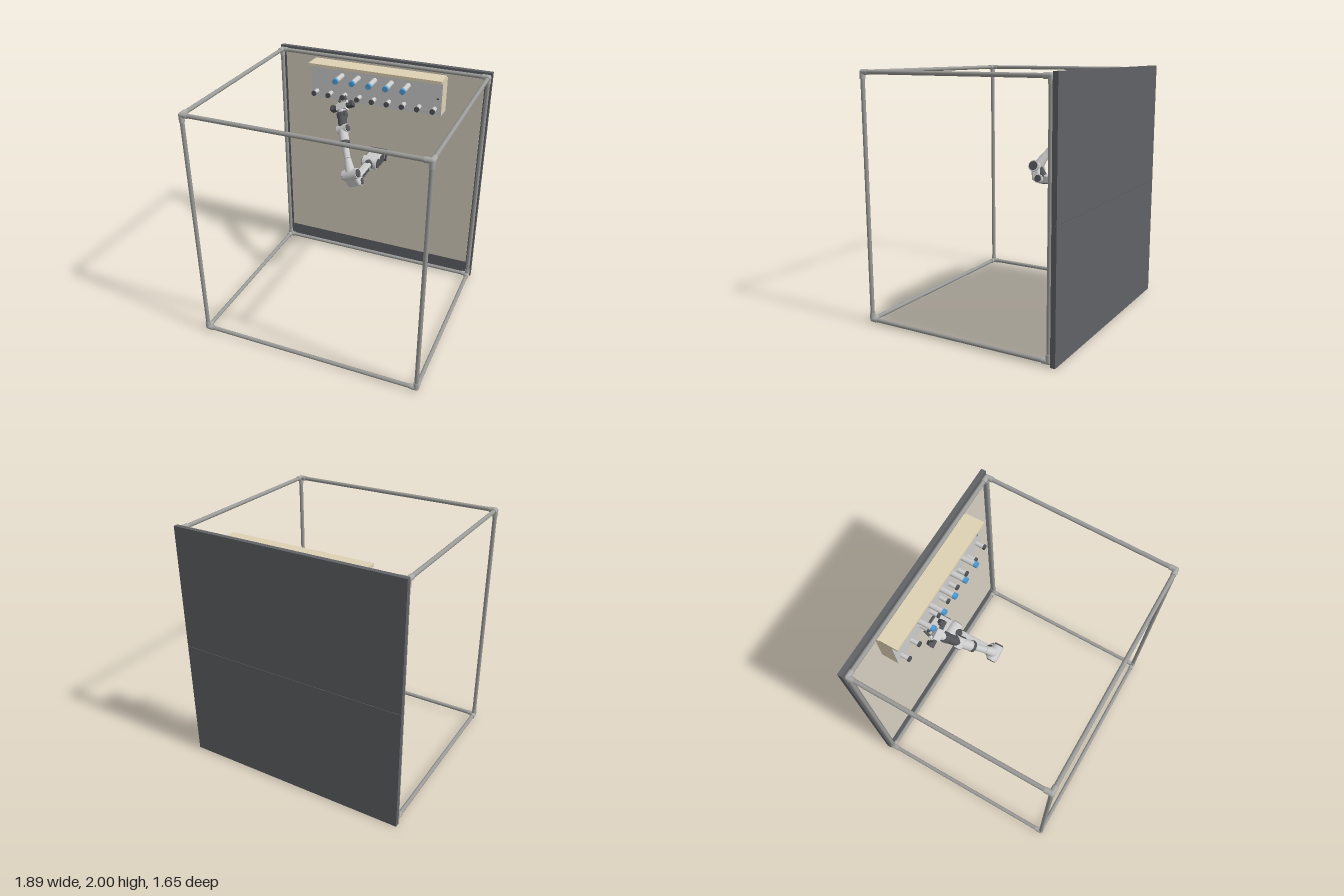
import * as THREE from 'three';
import { RoundedBoxGeometry } from 'three/addons/geometries/RoundedBoxGeometry.js';

const mat = (color) => new THREE.MeshStandardMaterial({ color });
const GREY = mat(0xcccccc), PIPE = mat(0x9a9a98), FITTING = mat(0xa8a8a6), DARK = mat(0x505256);
const PANEL = mat(0x606266), SHEET = mat(0xd4cebf), WOOD = mat(0xdfd2b4), BLUE = mat(0x4f9fd8);
const V = (x, y, z) => new THREE.Vector3(x, y, z);
const UP = V(0, 1, 0);

function add(parent, name, geometry, material, x = 0, y = 0, z = 0) {
  const mesh = new THREE.Mesh(geometry, material);
  mesh.name = name;
  mesh.position.set(x, y, z);
  parent.add(mesh);
  return mesh;
}

// Box given by its low and high corners
function block(parent, name, material, [x0, y0, z0], [x1, y1, z1]) {
  return add(parent, name, new THREE.BoxGeometry(x1 - x0, y1 - y0, z1 - z0), material,
    (x0 + x1) / 2, (y0 + y1) / 2, (z0 + z1) / 2);
}

// Cylinder or cone from point a to point b
function rod(parent, name, material, a, b, r0, r1 = r0) {
  const mesh = add(parent, name, new THREE.CylinderGeometry(r1, r0, a.distanceTo(b), 24), material);
  mesh.position.copy(a).lerp(b, 0.5);
  mesh.quaternion.setFromUnitVectors(UP, b.clone().sub(a).normalize());
  return mesh;
}

// Cube of pipes with three-way corner fittings
function buildFrame() {
  const g = new THREE.Group();
  g.name = 'pipeFrame';
  const X = [-0.92, 0.92], Y = [0.03, 1.97], Z = [-0.765, 0.805], r = 0.0165;
  for (const a of [0, 1]) for (const b of [0, 1]) {
    rod(g, 'crossPipe', PIPE, V(X[0], Y[a], Z[b]), V(X[1], Y[a], Z[b]), r);
    rod(g, 'post', PIPE, V(X[a], Y[0], Z[b]), V(X[a], Y[1], Z[b]), r);
    rod(g, 'sidePipe', PIPE, V(X[a], Y[b], Z[0]), V(X[a], Y[b], Z[1]), r);
    for (const c of [0, 1]) {
      const p = V(X[a], Y[b], Z[c]);
      const l = 0.052;
      add(g, 'cornerBall', new THREE.SphereGeometry(0.021, 20, 14), FITTING, p.x, p.y, p.z);
      for (const d of [V(a ? -l : l, 0, 0), V(0, b ? -l : l, 0), V(0, 0, c ? -l : l)])
        rod(g, 'cornerSocket', FITTING, p, p.clone().add(d), 0.021);
    }
  }
  return g;
}

// Two dark boards with a seam, faced with a pale sheet
function buildWall() {
  const g = new THREE.Group();
  g.name = 'backWall';
  block(g, 'lowerBoard', PANEL, [-0.945, 0, -0.827], [0.945, 0.997, -0.788]);
  block(g, 'upperBoard', PANEL, [-0.945, 1.003, -0.827], [0.945, 2, -0.788]);
  block(g, 'seam', DARK, [-0.94, 0.99, -0.823], [0.94, 1.01, -0.79]);
  block(g, 'paleSheet', SHEET, [-0.89, 0.15, -0.79], [0.89, 1.95, -0.782]);
  return g;
}

// Cabinet with a lid, face plate and two rows of pegs
function buildCabinet() {
  const g = new THREE.Group();
  g.name = 'pegCabinet';
  block(g, 'cabinetBody', WOOD, [-0.585, 1.625, -0.783], [0.585, 1.92, -0.645]);
  block(g, 'facePlate', mat(0xd8d8d8), [-0.585, 1.625, -0.645], [0.585, 1.92, -0.64]);
  block(g, 'lid', WOOD, [-0.585, 1.92, -0.745], [0.585, 1.945, -0.59]);
  for (let i = -2; i <= 2; i++) {
    const x = i * 0.147, y = 1.855;
    rod(g, 'longPeg', GREY, V(x, y, -0.64), V(x, y, -0.505), 0.022);
    rod(g, 'bluePegTip', BLUE, V(x, y, -0.505), V(x, y, -0.478), 0.024);
  }
  for (let i = -4; i <= 4; i++) {
    const x = i * 0.1325, y = 1.687;
    rod(g, 'shortPeg', GREY, V(x, y, -0.64), V(x, y, -0.568), 0.019);
    rod(g, 'shortPegTip', DARK, V(x, y, -0.575), V(x, y, -0.56), 0.022);
  }
  const slot = rod(g, 'slot', DARK, V(0.55, 1.775, -0.64), V(0.55, 1.775, -0.638), 0.006);
  slot.scale.x = 2;
  return g;
}

function buildArm() {
  const g = new THREE.Group();
  g.name = 'robotArm';
  const joint = (name, p, axis, r, half, material = GREY) => {
    const d = axis.clone().normalize().multiplyScalar(half);
    rod(g, name, material, p.clone().sub(d), p.clone().add(d), r);
    d.multiplyScalar(1.12);
    rod(g, name + 'Cap', DARK, p.clone().sub(d), p.clone().add(d), r * 0.78);
  };
  const side = V(1, 0, 0);

  // Wall mount and shoulder
  block(g, 'mountPlate', DARK, [-0.07, 1.055, -0.783], [0.08, 1.165, -0.76]);
  add(g, 'mountBody', new RoundedBoxGeometry(0.13, 0.095, 0.16, 3, 0.015), GREY, 0, 1.11, -0.69);
  for (const s of [-1, 1])
    block(g, 'mountCheek', DARK, [s * 0.062 - 0.006, 1.065, -0.74], [s * 0.062 + 0.006, 1.15, -0.64]);
  joint('shoulder', V(0, 1.115, -0.58), side, 0.055, 0.065);
  rod(g, 'shoulderNeck', DARK, V(0, 1.115, -0.56), V(0, 1.115, -0.49), 0.045, 0.036);

  // Lower link runs out from the wall, with recessed side plates
  add(g, 'lowerLink', new RoundedBoxGeometry(0.068, 0.07, 0.29, 3, 0.018), GREY, 0, 1.115, -0.37);
  block(g, 'linkInset', DARK, [-0.0355, 1.1, -0.46], [0.0355, 1.13, -0.3]);
  block(g, 'linkUnderside', DARK, [-0.025, 1.077, -0.5], [0.025, 1.085, -0.24]);

  // Elbow housing, leaning up and forward
  const elbow = V(-0.02, 1.195, -0.165);
  rod(g, 'elbowBend', DARK, V(0.005, 1.115, -0.24), elbow, 0.04, 0.045);
  const housing = add(g, 'elbowHousing', new RoundedBoxGeometry(0.12, 0.145, 0.075, 3, 0.02), GREY,
    -0.012, 1.155, -0.18);
  housing.rotation.set(0.3, 0, 0.38, 'ZXY');
  joint('elbow', elbow, V(1, 0.4, 0), 0.046, 0.066);
  joint('elbowLower', V(0.01, 1.11, -0.215), V(1, 0.25, 0), 0.036, 0.05);

  // Upper arm: tapered sleeves along the path to the wrist
  const path = [V(-0.02, 1.195, -0.165), V(-0.075, 1.305, -0.225), V(-0.13, 1.405, -0.3),
    V(-0.178, 1.49, -0.375), V(-0.222, 1.575, -0.465), V(-0.25, 1.64, -0.54)];
  const radii = [[0.046, 0.029], [0.028, 0.028], [0.042, 0.04], [0.036, 0.04], [0.035, 0.03]];
  radii.forEach(([r0, r1], i) =>
    rod(g, 'upperArmSleeve', i === 3 ? DARK : GREY, path[i], path[i + 1], r0, r1));
  for (const [i, r] of [[2, 0.045], [4, 0.042]]) {
    const d = path[i + 1].clone().sub(path[i]).normalize().multiplyScalar(0.012);
    rod(g, 'armCollar', DARK, path[i].clone().sub(d), path[i].clone().add(d), r);
  }
  joint('forearmJoint', path[3], V(1, 0.45, 0), 0.04, 0.045);
  joint('wristJoint', path[4], V(1, 0.45, 0), 0.034, 0.036, DARK);

  // Gripper: palm bar across the wrist with two hooked fingers
  const hand = new THREE.Group();
  hand.name = 'gripper';
  const fwd = path[5].clone().sub(path[4]).normalize();
  const across = V(0.21, 0.095, 0).addScaledVector(fwd, -V(0.21, 0.095, 0).dot(fwd)).normalize();
  hand.quaternion.setFromRotationMatrix(
    new THREE.Matrix4().makeBasis(across, fwd, across.clone().cross(fwd)));
  hand.position.copy(path[5]).addScaledVector(fwd, -0.025);
  g.add(hand);
  block(hand, 'palmBar', DARK, [-0.11, -0.018, -0.025], [0.11, 0.012, 0.025]);
  block(hand, 'palmBody', GREY, [-0.045, -0.035, -0.032], [0.045, 0.025, 0.032]);
  for (const s of [-1, 1]) {
    add(hand, 'jawCarriage', new RoundedBoxGeometry(0.035, 0.045, 0.05, 2, 0.006), DARK, s * 0.09, 0.008, 0);
    rod(hand, 'fingerBase', GREY, V(s * 0.05, 0.01, 0), V(s * 0.038, 0.05, 0), 0.015, 0.012);
    rod(hand, 'fingerTip', DARK, V(s * 0.038, 0.045, 0), V(s * 0.022, 0.1, 0), 0.012, 0.008);
  }
  return g;
}

export function createModel() {
  const model = new THREE.Group();
  model.name = 'robotWorkCell';
  model.add(buildFrame(), buildWall(), buildCabinet(), buildArm());
  return model;
}
